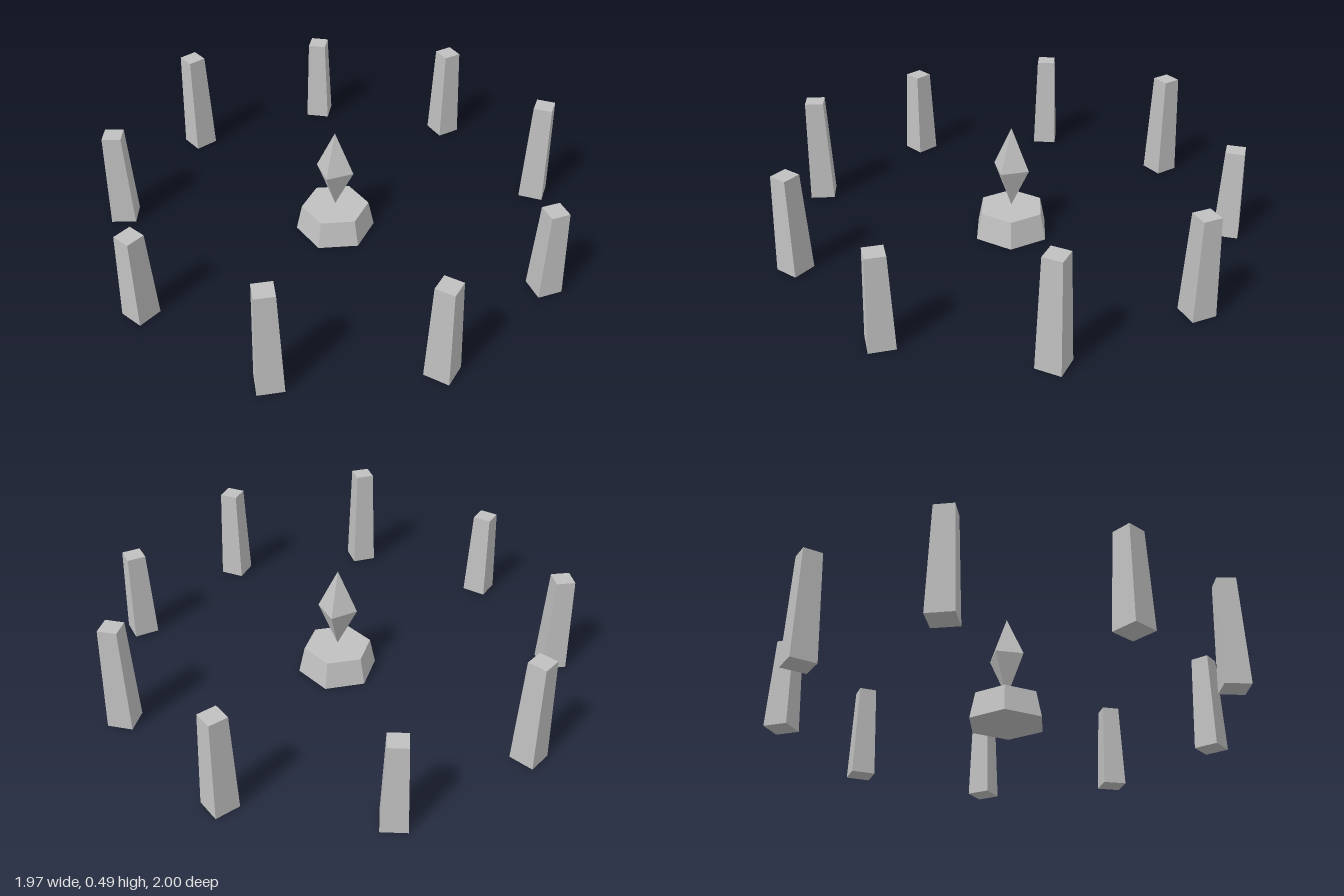
import * as THREE from 'three';

export function createModel() {
  const group = new THREE.Group();
  const stone = new THREE.MeshStandardMaterial({ color: 0xc0c0c0 });
  stone.name = 'pale grey stone';

  // Tapered prism standing on the ground
  const frustum = (top, bottom, height, sides) =>
    new THREE.CylinderGeometry(top, bottom, height, sides)
      .toNonIndexed()
      .translate(0, height / 2, 0);

  const add = (name, geometry, x = 0, z = 0, turn = 0) => {
    geometry.computeVertexNormals(); // unshared corners give flat facets
    const mesh = new THREE.Mesh(geometry, stone);
    mesh.name = name;
    mesh.position.set(x, 0, z);
    mesh.rotation.y = turn;
    group.add(mesh);
  };

  // Hexagonal plinth with a floating crystal
  add('plinth', frustum(0.145, 0.17, 0.117, 6));
  add('crystal', new THREE.OctahedronGeometry(1)
    .scale(0.085, 0.182, 0.085)
    .translate(0, 0.307, 0));

  // Ring of nine standing stones in three repeating heights
  const ringRadius = 0.94;
  const heights = [0.395, 0.43, 0.465];
  for (let i = 0; i < 9; i++) {
    const a = (i / 9) * Math.PI * 2;
    add(`standingStone${i + 1}`, frustum(0.056, 0.075, heights[i % 3], 4),
      ringRadius * Math.cos(a), ringRadius * Math.sin(a), a);
  }

  // The ring is odd-numbered, so shift it to centre its width
  group.children.forEach((part) => { part.position.x -= 0.031; });
  return group;
}
